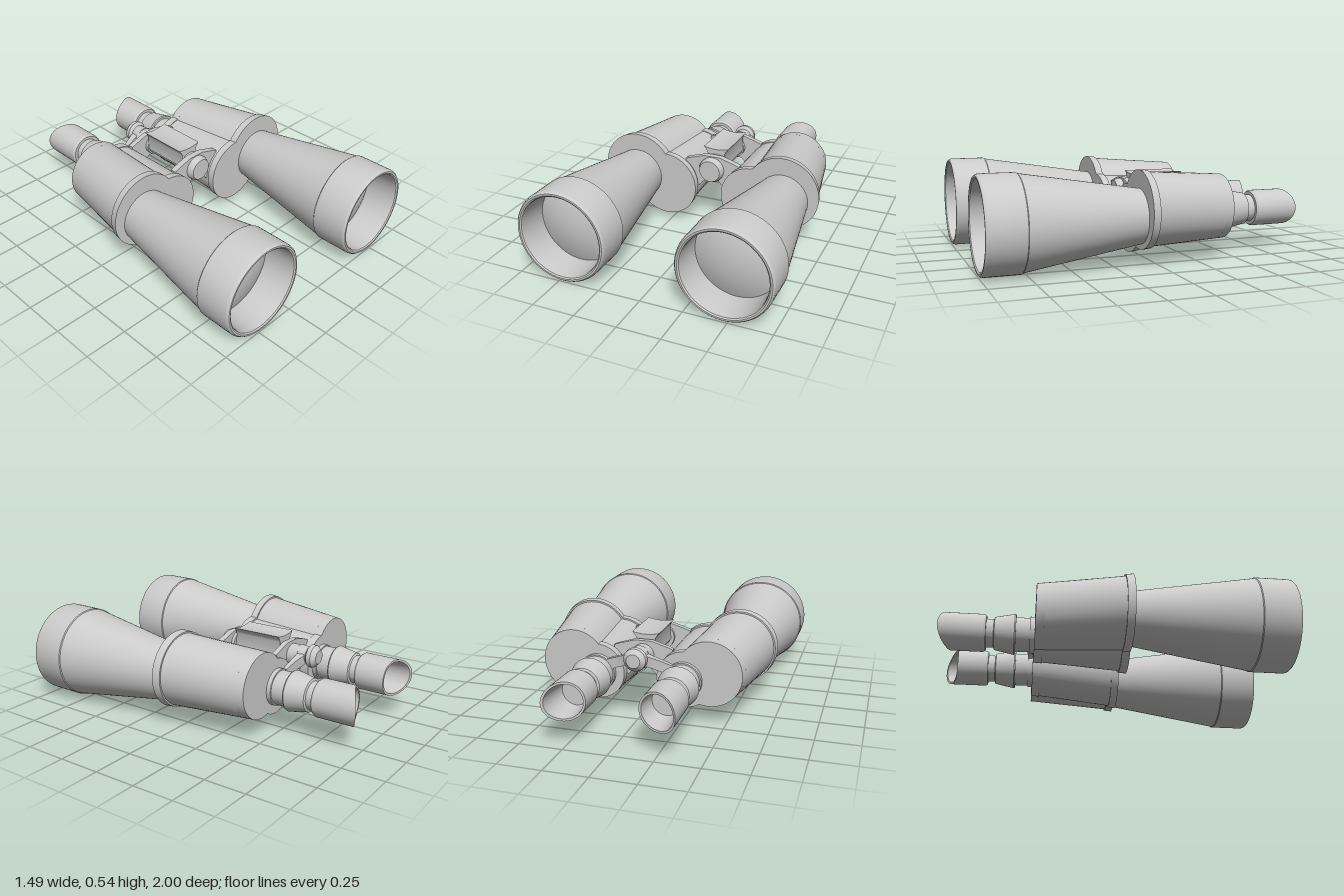
import * as THREE from 'three';
import { toCreasedNormals } from 'three/addons/utils/BufferGeometryUtils.js';

const material = new THREE.MeshStandardMaterial({ color: 0xcccccc });

// Mirror a geometry across x, turning its triangles back to face outward
function mirrorX(geometry) {
  const g = geometry.index ? geometry.toNonIndexed() : geometry.clone();
  g.scale(-1, 1, 1);
  const p = g.attributes.position;
  const a = new THREE.Vector3(), b = new THREE.Vector3();
  for (let i = 0; i < p.count; i += 3) {
    a.fromBufferAttribute(p, i);
    b.fromBufferAttribute(p, i + 2);
    p.setXYZ(i, b.x, b.y, b.z);
    p.setXYZ(i + 2, a.x, a.y, a.z);
  }
  return g;
}

function part(name, geometry, side = 1) {
  const g = side < 0 ? mirrorX(geometry) : geometry.clone();
  const mesh = new THREE.Mesh(toCreasedNormals(g, 0.5), material);
  mesh.name = name;
  return mesh;
}

// Turned part along z from [radius, z] pairs; outer walls run toward +z
function turned(profile, x, y, segments = 64) {
  const g = new THREE.LatheGeometry(profile.map(([r, z]) => new THREE.Vector2(r, z)), segments);
  return g.rotateX(Math.PI / 2).translate(x, y, 0);
}

function plate(points, z0, z1) {
  const shape = new THREE.Shape(points.map(([x, y]) => new THREE.Vector2(x, y)));
  return new THREE.ExtrudeGeometry(shape, { depth: z1 - z0, bevelEnabled: false, curveSegments: 12 })
    .translate(0, 0, z0);
}

// Outline of two overlapping circles, as two arcs meeting in creases
function lobes(t, growOuter, growInner, n) {
  const mix = THREE.MathUtils.lerp;
  const outer = new THREE.Vector2(mix(0.4, 0.473, t), mix(0.295, 0.31, t));
  const inner = new THREE.Vector2(mix(0.26, 0.285, t), mix(0.25, 0.235, t));
  const R = mix(0.19, 0.215, t) + growOuter, r = mix(0.158, 0.19, t) + growInner;
  const d = outer.distanceTo(inner), axis = Math.atan2(outer.y - inner.y, outer.x - inner.x);
  const half = Math.acos((d * d + R * R - r * r) / (2 * d * R));
  const halfIn = Math.acos((d * d + r * r - R * R) / (2 * d * r));
  const points = [];
  const arc = (c, rad, from, to) => {
    for (let i = 0; i < n; i++) {
      const a = mix(from, to, i / n);
      points.push([c.x + rad * Math.cos(a), c.y + rad * Math.sin(a)]);
    }
  };
  arc(outer, R, axis - Math.PI + half, axis + Math.PI - half);
  arc(inner, r, axis + halfIn, axis + 2 * Math.PI - halfIn);
  return points;
}

// Tapered two-lobed prism housing with lips at both ends
function housing() {
  const n = 40, count = 2 * n, positions = [], index = [];
  const stations = [
    [-0.45, 0, 0, 0.005], [-0.4, 0.09, 0, 0.005], [-0.4, 0.09, 0, 0],
    [0.045, 0.92, 0, 0], [0.045, 0.92, 0.009, 0.009], [0.09, 1, 0.01, 0.01],
  ];
  for (const [z, t, go, gi] of stations) {
    for (const [x, y] of lobes(t, go, gi, n)) positions.push(x, y, z);
  }
  for (let s = 0; s < stations.length - 1; s++) {
    for (let i = 0; i < count; i++) {
      const a = s * count + i, b = s * count + (i + 1) % count;
      index.push(a, b, b + count, a, b + count, a + count);
    }
  }
  // End caps fan out from a point inside both lobes
  const back = positions.length / 3, last = (stations.length - 1) * count;
  positions.push(0.32, 0.265, -0.45, 0.37, 0.265, 0.09);
  for (let i = 0; i < count; i++) {
    const j = (i + 1) % count;
    index.push(back, j, i, back + 1, last + i, last + j);
  }
  const g = new THREE.BufferGeometry();
  g.setAttribute('position', new THREE.Float32BufferAttribute(positions, 3));
  g.setIndex(index);
  return g;
}

// Eyepiece with a hollow cup whose rim sweeps back on the outer side
function eyepiece() {
  const x = 0.255, y = 0.247;
  const g = turned([
    [0, -0.78], [0.08, -0.78], [0.097, -0.95], [0.11, -0.95], [0.11, -0.74], [0.102, -0.728],
    [0.083, -0.728], [0.083, -0.685], [0.096, -0.68], [0.119, -0.565], [0.115, -0.557],
    [0.1, -0.557], [0.1, -0.44],
  ], x, y);
  const p = g.attributes.position;
  for (let i = 0; i < p.count; i++) {
    if (p.getZ(i) > -0.9) continue;
    const u = THREE.MathUtils.clamp((p.getX(i) - x) / 0.22 + 0.5, 0, 1);
    p.setZ(i, -0.915 - 0.085 * u ** 1.7);
  }
  return g;
}

// Curved bridge arm, drawn in plan and tilted down to the eyepiece
function bridgeArm() {
  const s = new THREE.Shape();
  s.moveTo(0, 0.505);
  s.lineTo(0.06, 0.505);
  s.quadraticCurveTo(0.12, 0.477, 0.24, 0.475);
  s.lineTo(0.24, 0.452);
  s.lineTo(0.16, 0.452);
  s.quadraticCurveTo(0.1, 0.455, 0.05, 0.46);
  s.lineTo(0, 0.46);
  s.closePath();
  return new THREE.ExtrudeGeometry(s, { depth: 0.06, bevelEnabled: false })
    .translate(0, 0, -0.03).rotateX(-Math.PI / 2)
    .rotateZ(-0.36).translate(0, 0.375, 0);
}

export function createModel() {
  const model = new THREE.Group();
  model.name = 'binoculars';

  const barrel = turned([
    [0, 0.08], [0.156, 0.08], [0.267, 0.78], [0.272, 0.785], [0.272, 0.98], [0.269, 0.992],
    [0.262, 1], [0.252, 1], [0.244, 0.994], [0.24, 0.98], [0.24, 0.8],
  ], 0.475, 0.273, 80);
  const lensProfile = [];
  for (let i = 0; i <= 10; i++) {
    const r = 0.24 * (1 - i / 10);
    lensProfile.push([r, 0.8 + 0.05 * (1 - (r / 0.24) ** 2)]);
  }
  const lens = turned(lensProfile, 0.475, 0.273, 80);
  const clampRing = turned([[0.09, -0.476], [0.108, -0.476], [0.108, -0.448], [0.09, -0.448]], 0.255, 0.247);
  const arm = [[0, 0.28], [0.04, 0.285], [0.09, 0.232], [0.17, 0.26], [0.175, 0.4], [0.15, 0.41], [0.05, 0.44], [0, 0.44]];

  // Matching left and right halves
  for (const side of [1, -1]) {
    const half = new THREE.Group();
    half.name = side > 0 ? 'leftTube' : 'rightTube';
    half.add(
      part('objectiveBarrel', barrel, side),
      part('objectiveLens', lens, side),
      part('prismHousing', housing(), side),
      part('eyepiece', eyepiece(), side),
      part('eyepieceClamp', clampRing, side),
      part('bridgeArm', bridgeArm(), side),
      part('rearHingeArm', plate(arm, -0.395, -0.362), side),
      part('frontHingeArm', plate(arm, -0.01, 0.028), side),
    );
    model.add(half);
  }

  // Central hinge with its rear knob and front cap
  const hingeY = 0.357;
  model.add(part('hingeShaft', turned([
    [0, -0.46], [0.065, -0.46], [0.065, -0.34], [0.055, -0.34], [0.055, -0.03], [0.078, -0.03],
    [0.078, 0.045], [0.066, 0.07], [0, 0.07],
  ], 0, hingeY, 40)));
  model.add(part('rearKnob', turned([
    [0, -0.575], [0.04, -0.575], [0.065, -0.55], [0.068, -0.525], [0.05, -0.51], [0.055, -0.45], [0, -0.45],
  ], 0, 0.372, 40)));

  // Flared saddle over the hinge with a dished top
  const saddle = new THREE.Shape();
  saddle.moveTo(-0.06, 0.35);
  saddle.lineTo(0.06, 0.35);
  saddle.lineTo(0.055, 0.43);
  saddle.quadraticCurveTo(0.058, 0.45, 0.081, 0.474);
  saddle.quadraticCurveTo(0, 0.452, -0.081, 0.474);
  saddle.quadraticCurveTo(-0.058, 0.45, -0.055, 0.43);
  saddle.closePath();
  model.add(part('hingeSaddle', new THREE.ExtrudeGeometry(saddle, { depth: 0.31, bevelEnabled: false })
    .translate(0, 0, -0.345)));
  return model;
}
